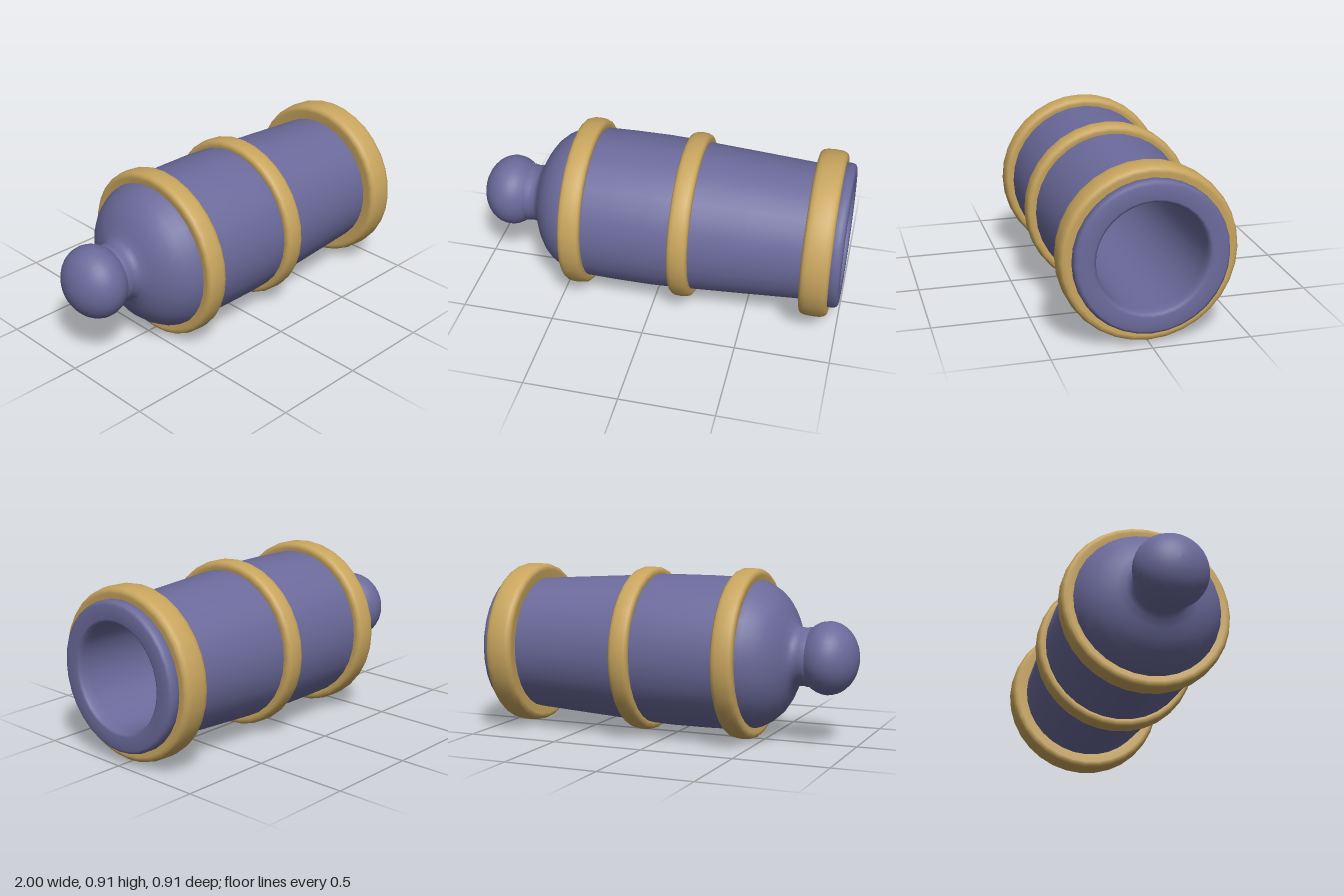
import * as THREE from 'three';

const AXIS_Y = 0.456;
const SIDES = 32;

export function createModel() {
  const steel = new THREE.MeshStandardMaterial({ color: 0x6b6a9b });
  steel.name = 'blue grey metal';
  const gold = new THREE.MeshStandardMaterial({ color: 0xc8a55e });
  gold.name = 'gold';
  const dark = new THREE.MeshStandardMaterial({ color: 0x0d0d22 });
  dark.name = 'dark bore';

  const model = new THREE.Group();
  model.name = 'cannonBarrel';

  // Turns a profile of [x, radius] pairs around the barrel's long axis
  function turn(name, profile, material) {
    const points = profile.map(([x, r]) => new THREE.Vector2(r, x));
    const geometry = new THREE.LatheGeometry(points, SIDES);
    geometry.rotateZ(-Math.PI / 2);
    const mesh = new THREE.Mesh(geometry, material);
    mesh.name = name;
    mesh.position.y = AXIS_Y;
    model.add(mesh);
  }

  // Rear knob, a slightly flattened ball that ends at the neck
  const knob = [];
  for (let i = 0; i <= 14; i++) {
    const a = (i / 14) * 2.2;
    knob.push([-0.845 - 0.155 * Math.cos(a), 0.192 * Math.sin(a)]);
  }
  turn('knob', knob, steel);

  // Neck flaring into the rounded breech
  turn('breech', [
    [-0.765, 0.15], [-0.745, 0.157], [-0.72, 0.152], [-0.69, 0.155], [-0.668, 0.175],
    [-0.65, 0.215], [-0.625, 0.265], [-0.59, 0.315], [-0.545, 0.355],
    [-0.49, 0.386], [-0.43, 0.4], [-0.35, 0.406],
  ], steel);

  // Tapering barrel
  turn('barrel', [
    [-0.35, 0.406], [-0.2, 0.409], [0, 0.409], [0.12, 0.404],
    [0.22, 0.398], [0.5, 0.382], [0.8, 0.364], [0.94, 0.358],
  ], steel);

  // Muzzle lip with softened rims, then the bore wall
  turn('muzzle', [
    [0.92, 0.355], [0.93, 0.386], [0.975, 0.386], [0.992, 0.38],
    [1, 0.366], [1, 0.33], [1, 0.296], [0.995, 0.284], [0.975, 0.276], [0.94, 0.275],
  ], steel);
  turn('boreWall', [[0.94, 0.275], [0.3, 0.275], [-0.35, 0.275]], steel);
  turn('boreFloor', [[-0.35, 0.275], [-0.35, 0.08], [-0.35, 0]], dark);

  // Rounded gold bands
  function band(name, x0, x1, inner, outer) {
    const w = x1 - x0;
    const h = 0.035;
    const profile = [[x0 + 0.01, inner], [x0, outer - h]];
    for (let i = 1; i < 8; i++) {
      const a = (i / 8) * Math.PI;
      const c = Math.cos(a);
      profile.push([
        x0 + w / 2 - (w / 2) * Math.sign(c) * Math.pow(Math.abs(c), 0.7),
        outer - h + h * Math.pow(Math.sin(a), 0.7),
      ]);
    }
    profile.push([x1, outer - h], [x1 - 0.01, inner]);
    turn(name, profile, gold);
  }
  band('rearBand', -0.47, -0.35, 0.375, 0.454);
  band('middleBand', 0.11, 0.22, 0.375, 0.446);
  band('muzzleBand', 0.8, 0.95, 0.345, 0.446);

  return model;
}
